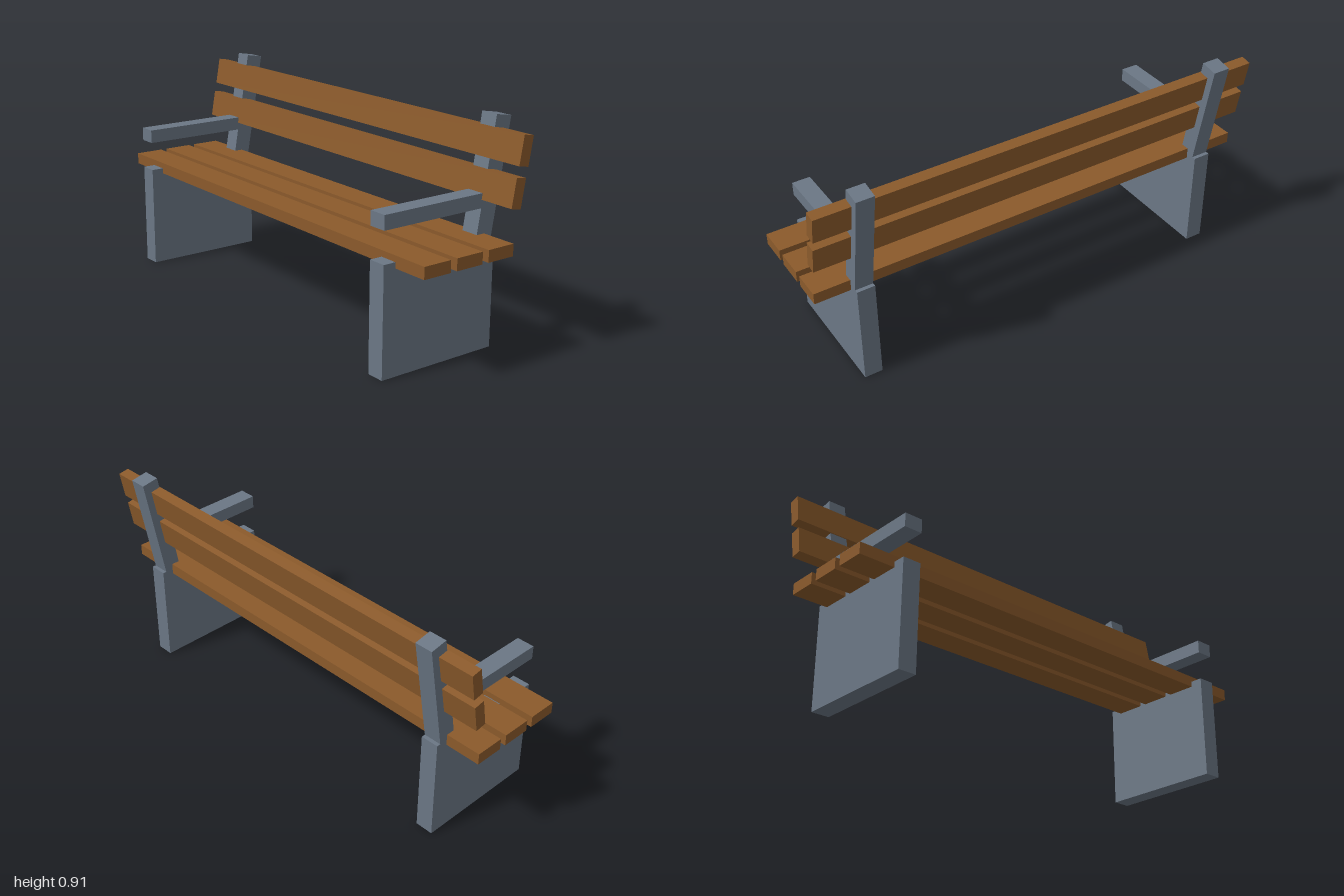
import * as THREE from 'three';

export function createModel() {
  const bench = new THREE.Group();
  bench.name = 'bench';
  const wood = new THREE.MeshStandardMaterial({ color: 0x8b5a2b });
  wood.name = 'brown wood';
  const frame = new THREE.MeshStandardMaterial({ color: 0x6b7785 });
  frame.name = 'grey frame';

  const TILT = -THREE.MathUtils.degToRad(10); // backrest leans backwards
  const FRAME_X = 0.81;
  const FRAME_WIDTH = 0.076;

  function box(name, material, size, position, tilt = 0) {
    const mesh = new THREE.Mesh(new THREE.BoxGeometry(...size), material);
    mesh.name = name;
    mesh.position.set(...position);
    mesh.rotation.x = tilt;
    bench.add(mesh);
  }

  // Two end frames: solid leg panel, leaning post and armrest
  for (const [side, s] of [['left', 1], ['right', -1]]) {
    const x = s * FRAME_X;
    box(side + 'LegPanel', frame, [FRAME_WIDTH, 0.438, 0.533], [x, 0.219, 0.0335]);
    box(side + 'BackPost', frame, [FRAME_WIDTH, 0.52, 0.075], [x, 0.6455, -0.215], TILT);
    box(side + 'Armrest', frame, [FRAME_WIDTH, 0.057, 0.5], [x, 0.5915, 0.05]);
  }

  // Three seat slats, front to back
  for (let i = 0; i < 3; i++) {
    box('seatSlat' + (i + 1), wood, [2, 0.048, 0.123], [0, 0.439, 0.1855 - i * 0.1525]);
  }

  // Two backrest slats, standing slightly proud of the posts
  [[0.648, -0.1955], [0.801, -0.2245]].forEach(([y, z], i) => {
    box('backSlat' + (i + 1), wood, [2, 0.115, 0.047], [0, y, z], TILT);
  });

  return bench;
}
